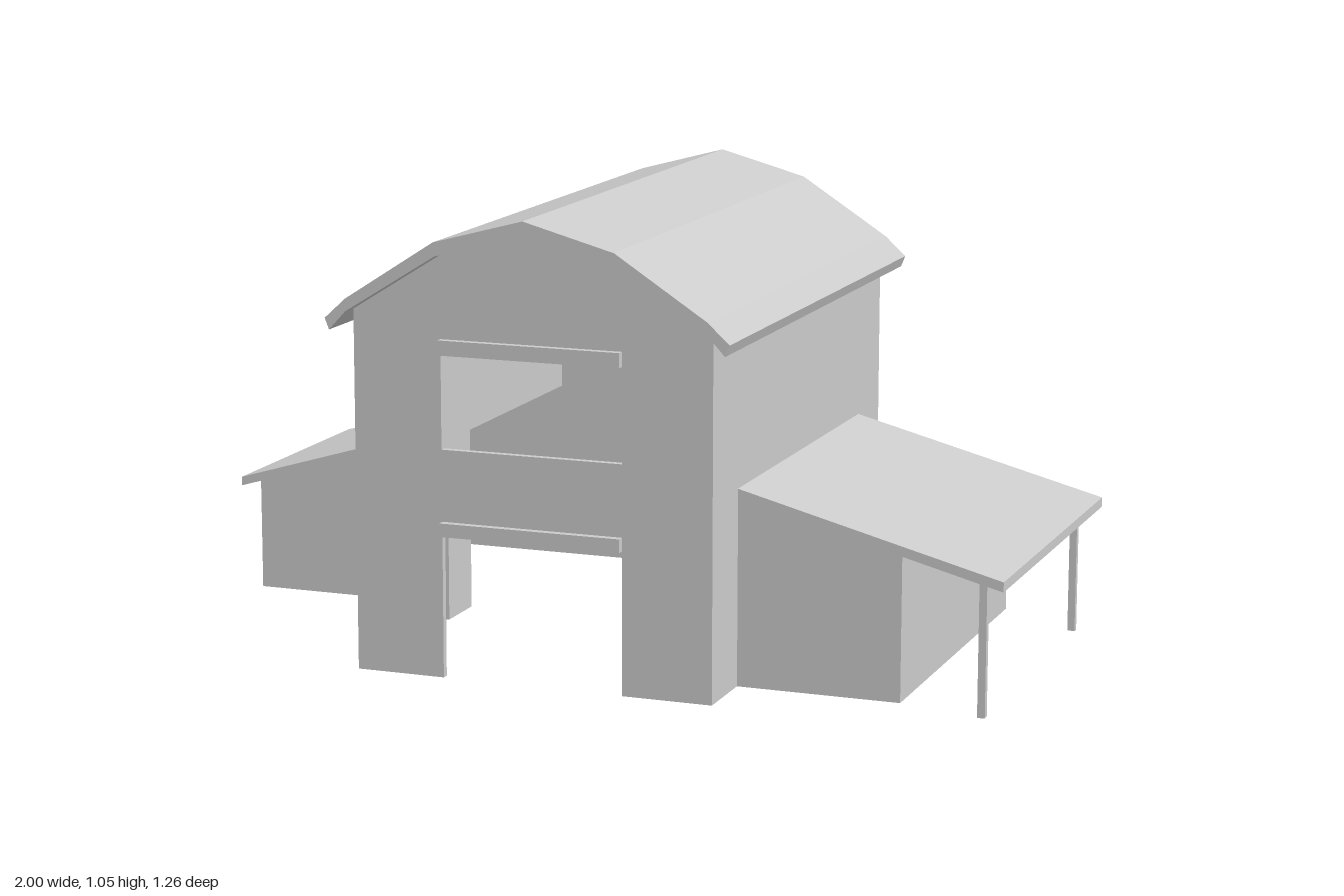
import * as THREE from 'three';

const MAT = new THREE.MeshStandardMaterial({ color: 0xcccccc, flatShading: true, side: THREE.DoubleSide });
const T = 0.016; // wall thickness

function outline(points, holes = []) {
  const toVectors = (list) => list.map(([a, b]) => new THREE.Vector2(a, b));
  const shape = new THREE.Shape(toVectors(points));
  for (const hole of holes) shape.holes.push(new THREE.Path(toVectors(hole)));
  return shape;
}

// Outline in x,y, extruded from z0 to z1
function slabZ(name, points, z0, z1, holes) {
  const geo = new THREE.ExtrudeGeometry(outline(points, holes), { depth: z1 - z0, bevelEnabled: false });
  geo.translate(0, 0, z0);
  const mesh = new THREE.Mesh(geo, MAT);
  mesh.name = name;
  return mesh;
}

// Outline in z,y, extruded from x0 to x1
function slabX(name, points, x0, x1) {
  const geo = new THREE.ExtrudeGeometry(outline(points), { depth: x1 - x0, bevelEnabled: false });
  geo.rotateY(-Math.PI / 2);
  geo.translate(x1, 0, 0);
  const mesh = new THREE.Mesh(geo, MAT);
  mesh.name = name;
  return mesh;
}

function box(name, x0, x1, y0, y1, z0, z1) {
  const mesh = new THREE.Mesh(new THREE.BoxGeometry(x1 - x0, y1 - y0, z1 - z0), MAT);
  mesh.position.set((x0 + x1) / 2, (y0 + y1) / 2, (z0 + z1) / 2);
  mesh.name = name;
  return mesh;
}

export function createModel() {
  const barn = new THREE.Group();
  barn.name = 'barn';

  const base = 0.025, eave = 0.832, front = 0.59, cx = -0.006;
  const xL = -0.42, xR = 0.408, joint = 0.465;
  const doorL = -0.215, doorR = 0.203;

  // Curved-looking roof in six flat strips
  const half = [[0, 1.05], [0.207, 0.994], [0.415, 0.86], [0.464, 0.815]];
  const under = [[0, 1.02], [0.203, 0.964], [0.415, 0.832], [0.454, 0.79]];
  const arch = (list) => [
    ...list.slice(1).reverse().map(([x, y]) => [cx - x, y]),
    ...list.map(([x, y]) => [cx + x, y]),
  ];
  barn.add(slabZ('mainRoof', [...arch(half), ...arch(under).reverse()], -0.63, 0.63));

  // Gable top shared by the front and back walls, from right to left
  const gable = [[xR, eave], [cx + 0.203, 0.964], [cx, 1.02], [cx - 0.203, 0.964], [xL, eave]];

  // Front wall with a doorway and a loft opening
  barn.add(slabZ('frontWall', [
    [xL, base], [doorL, base], [doorL, 0.345], [doorR, 0.345], [doorR, base], [xR, base], ...gable,
  ], front - T, front, [[[doorL, 0.535], [doorL, 0.745], [doorR, 0.745], [doorR, 0.535]]]));

  // Back wall, running on across the left-hand lean-to
  barn.add(slabZ('backWall', [
    [-0.95, base], [xR, base], ...gable, [xL, joint], [-0.95, 0.3],
  ], -front, -front + T));

  // Side wall over the porch wing, open below into the wing
  barn.add(slabX('porchSideWall', [
    [-front, base], [-0.428, base], [-0.428, 0.45], [0.428, 0.45],
    [0.428, base], [front, base], [front, eave], [-front, eave],
  ], xR - T, xR));

  // Side wall over the lean-to, open into it and with a side doorway
  barn.add(slabX('leanToSideWall', [
    [-front, 0.45], [0, 0.45], [0, base], [0.13, base], [0.13, 0.3], [0.47, 0.3],
    [0.47, base], [front, base], [front, eave], [-front, eave],
  ], xL, xL + T));

  // Rails over the openings
  barn.add(box('doorRail', doorL, doorR, 0.345, 0.375, front, 0.607));
  barn.add(box('loftRail', doorL, doorR, 0.745, 0.778, front, 0.607));
  barn.add(box('sideDoorRail', -0.434, xL, 0.3, 0.325, 0.13, 0.47));

  // Porch wing: end walls, outer wall, roof and posts
  const wing = new THREE.Group();
  wing.name = 'porchWing';
  const wingEnd = [[xR, base], [0.777, base], [0.777, 0.352], [xR, 0.45]];
  for (const z of [0.428 - T, -0.428]) wing.add(slabZ('wingEndWall', wingEnd, z, z + T));
  wing.add(box('wingOuterWall', 0.777 - T, 0.777, base, 0.352, -0.428, 0.428));
  wing.add(slabZ('wingRoof', [[xR, 0.443], [1, 0.289], [1, 0.311], [xR, joint]], -0.43, 0.43));
  for (const z of [-0.387, 0.387]) wing.add(box('porchPost', 0.938, 0.955, 0, 0.31, z - 0.008, z + 0.008));
  barn.add(wing);

  // Lean-to: front wall, outer wall and roof
  const leanTo = new THREE.Group();
  leanTo.name = 'leanTo';
  leanTo.add(slabZ('leanToFrontWall', [[-0.95, base], [xL, base], [xL, 0.45], [-0.95, 0.295]], -T, 0));
  leanTo.add(box('leanToOuterWall', -0.95, -0.95 + T, base, 0.293, -front, 0));
  leanTo.add(slabZ('leanToRoof', [[-1, 0.27], [xL, 0.443], [xL, joint], [-1, 0.291]], -0.594, 0.002));
  barn.add(leanTo);

  return barn;
}
